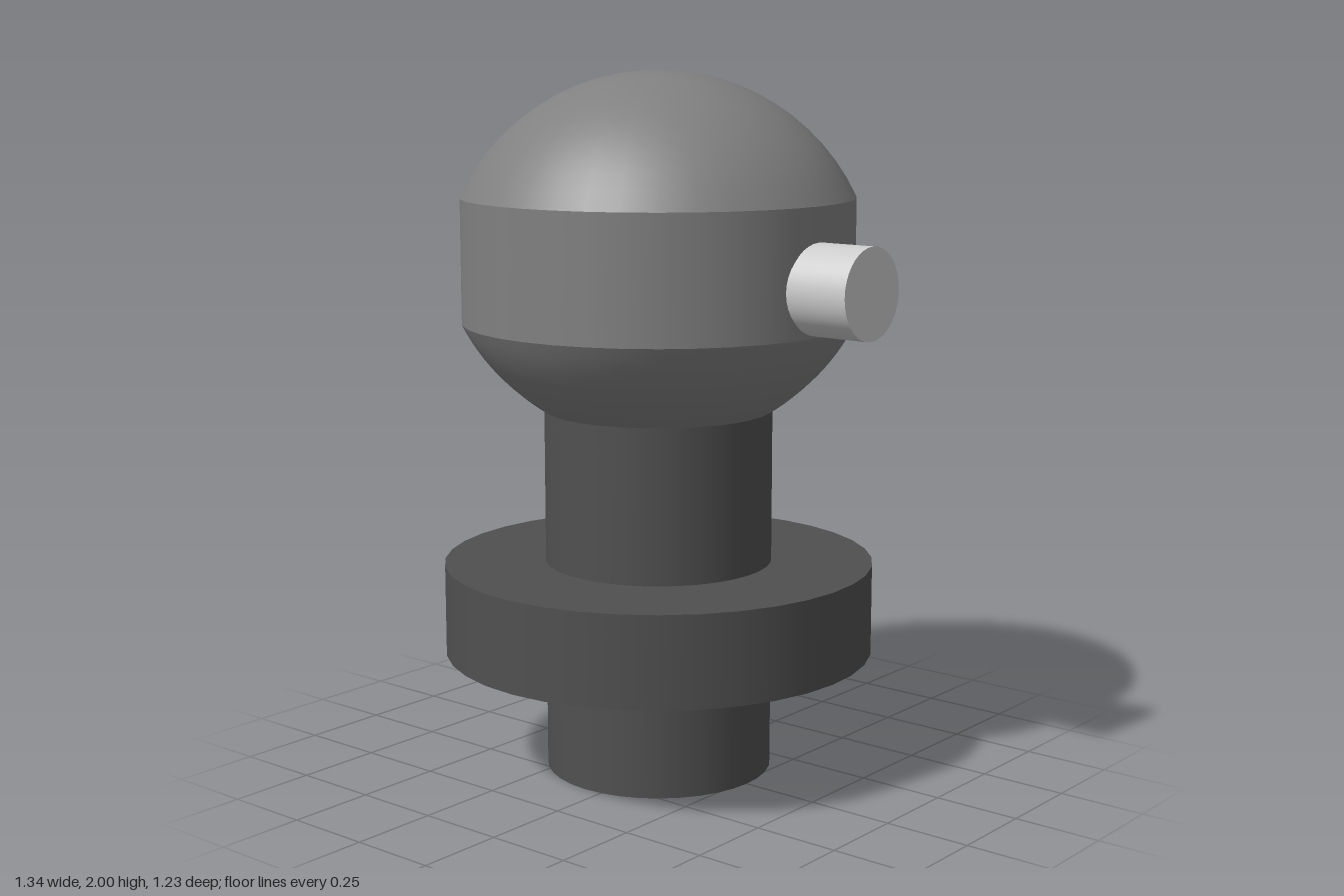
import * as THREE from 'three';

const SIDES = 36;
const AXIS_X = -0.055;

export function createModel() {
  const group = new THREE.Group();
  const dark = new THREE.MeshStandardMaterial({ color: 0x505050 });
  const mid = new THREE.MeshStandardMaterial({ color: 0x808080 });
  const light = new THREE.MeshStandardMaterial({ color: 0xcccccc });

  function add(name, geometry, material, x, y) {
    const mesh = new THREE.Mesh(geometry, material);
    mesh.name = name;
    mesh.position.set(x, y, 0);
    group.add(mesh);
    return mesh;
  }

  function cylinder(name, radius, y0, y1, material, open = false) {
    const geometry = new THREE.CylinderGeometry(radius, radius, y1 - y0, SIDES, 1, open);
    return add(name, geometry, material, AXIS_X, (y0 + y1) / 2);
  }

  // Zone of a sphere between two heights, with the ends at given radii
  function sphereZone(name, r0, y0, r1, y1, material, steps = 12) {
    const centre = (r1 * r1 + y1 * y1 - r0 * r0 - y0 * y0) / (2 * (y1 - y0));
    const radius = Math.hypot(r0, y0 - centre);
    const a0 = Math.atan2(y0 - centre, r0);
    const a1 = Math.atan2(y1 - centre, r1);
    const points = [];
    for (let i = 0; i <= steps; i++) {
      const a = a0 + (a1 - a0) * i / steps;
      points.push(new THREE.Vector2(Math.max(0, radius * Math.cos(a)), centre + radius * Math.sin(a)));
    }
    add(name, new THREE.LatheGeometry(points, SIDES), material, AXIS_X, 0);
  }

  // Post with its collar
  cylinder('shaft', 0.325, 0, 1.05, dark);
  cylinder('collar', 0.615, 0.35, 0.61, dark);

  // Rounded head: lower curve, straight band, dome
  sphereZone('headUnderside', 0.325, 1.05, 0.555, 1.3, mid);
  cylinder('headBand', 0.555, 1.3, 1.65, mid, true);
  sphereZone('headDome', 0.555, 1.65, 0, 2, mid);

  // Pin sticking out of the side of the head
  const pin = add('sidePin', new THREE.CylinderGeometry(0.125, 0.125, 0.27, SIDES), light, 0.535, 1.43);
  pin.rotation.z = -Math.PI / 2;

  return group;
}
